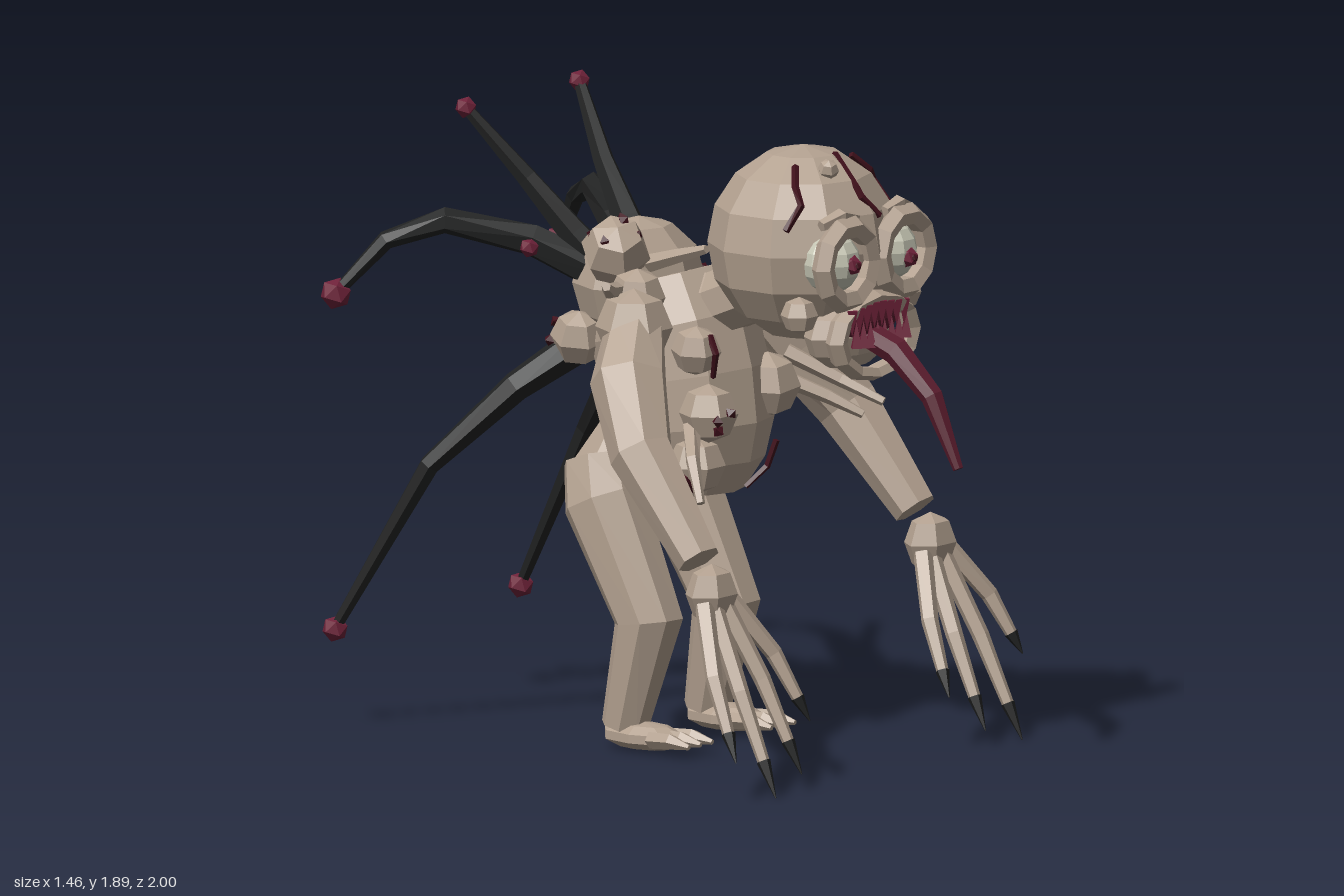
import * as THREE from 'three';

const mat = (name, color) => {
  const m = new THREE.MeshStandardMaterial({ color });
  m.name = name;
  return m;
};

export function createModel() {
  const model = new THREE.Group();
  const skin = mat('pale skin', 0xb3a190);
  const black = mat('black tendril', 0x212222);
  const red = mat('crimson flesh', 0x6e2239);
  const tongueRed = mat('dark tongue', 0x581b2c);
  const vein = mat('dark vein', 0x42111c);
  const eyeWhite = mat('eye white', 0xc8c8b6);

  // faceted mesh
  const add = (name, geo, material, pos = [0, 0, 0], scale = [1, 1, 1], rot = [0, 0, 0]) => {
    const g = geo.index ? geo.toNonIndexed() : geo;
    g.computeVertexNormals();
    const mesh = new THREE.Mesh(g, material);
    mesh.name = name;
    mesh.position.set(...pos);
    mesh.scale.set(...scale);
    mesh.rotation.set(...rot);
    model.add(mesh);
    return mesh;
  };
  const ball = (name, material, pos, size, w = 10, h = 6, rot = [0, 0, 0]) =>
    add(name, new THREE.SphereGeometry(1, w, h), material, pos, Array.isArray(size) ? size : [size, size, size], rot);
  const knob = (name, material, pos, r) =>
    add(name, new THREE.IcosahedronGeometry(r, 0), material, pos, [1, 1, 1], [0.3, 0.5, 0.2]);

  // tapered tube through points, one radius per point
  const limb = (name, material, pts, radii, sides = 6) => {
    const p = pts.map((a) => new THREE.Vector3(...a));
    const n = p.length;
    const all = p[n - 1].clone().sub(p[0]).normalize();
    const ref = Math.abs(all.x) < 0.7 ? new THREE.Vector3(1, 0, 0) : new THREE.Vector3(0, 0, 1);
    const verts = [], idx = [];
    p.forEach((c, i) => {
      const t = p[Math.min(i + 1, n - 1)].clone().sub(p[Math.max(i - 1, 0)]).normalize();
      const e1 = ref.clone().addScaledVector(t, -t.dot(ref)).normalize();
      const e2 = t.clone().cross(e1);
      for (let j = 0; j < sides; j++) {
        const a = ((j + 0.5) / sides) * Math.PI * 2;
        const v = c.clone().addScaledVector(e1, Math.cos(a) * radii[i]).addScaledVector(e2, Math.sin(a) * radii[i]);
        verts.push(v.x, v.y, v.z);
      }
    });
    const s = n * sides;
    verts.push(...p[0].toArray(), ...p[n - 1].toArray());
    for (let j = 0; j < sides; j++) {
      const k = (j + 1) % sides, e = (n - 1) * sides;
      for (let i = 0; i < n - 1; i++) {
        const a = i * sides + j, b = i * sides + k;
        idx.push(a, b, a + sides, b, b + sides, a + sides);
      }
      idx.push(s, k, j, s + 1, e + j, e + k);
    }
    const g = new THREE.BufferGeometry();
    g.setAttribute('position', new THREE.Float32BufferAttribute(verts, 3));
    g.setIndex(idx);
    return add(name, g, material);
  };
  const flip = (pts, s) => pts.map(([x, y, z]) => [x * s, y, z]);

  // torso
  ball('pelvis', skin, [0, 0.78, -0.19], [0.24, 0.2, 0.165], 8, 5);
  limb('trunk', skin, [[0, 0.765, 0], [0, 0.85, 0], [0, 0.96, -0.01], [0, 1.1, -0.02], [0, 1.24, -0.06], [0, 1.38, -0.1]],
    [0.16, 0.22, 0.255, 0.25, 0.25, 0.19], 10);
  ball('hump', skin, [0, 1.36, -0.19], [0.22, 0.19, 0.18], 8, 6);
  limb('neck', skin, [[0, 1.27, -0.05], [0, 1.33, 0.12], [0, 1.42, 0.34]], [0.14, 0.1, 0.1], 8);

  // head and jaw
  ball('head', skin, [0, 1.54, 0.415], [0.295, 0.29, 0.28], 10, 8, [0, Math.PI / 10, 0]);
  ball('jaw', skin, [0, 1.29, 0.58], [0.18, 0.11, 0.09], 10, 6);
  add('lipRing', new THREE.TorusGeometry(0.178, 0.034, 5, 12), skin, [0, 1.29, 0.672], [1, 0.64, 1]);
  ball('mouthCavity', tongueRed, [0, 1.335, 0.65], [0.145, 0.055, 0.04], 12, 6);
  for (let i = 0; i < 8; i++) {
    const x = -0.126 + i * 0.036;
    const tooth = () => new THREE.ConeGeometry(0.021, 0.08, 4);
    add('upperTooth', tooth(), red, [x, 1.355 - Math.abs(x) * 0.1, 0.69], [1, 1, 1], [Math.PI, 0, 0]);
    add('lowerTooth', tooth(), red, [x * 0.95 + 0.015, 1.295 + Math.abs(x) * 0.1, 0.69]);
  }
  limb('tongue', tongueRed, [[0, 1.31, 0.6], [0, 1.25, 0.76], [0, 1.13, 0.89], [0, 0.925, 0.985]],
    [0.038, 0.042, 0.034, 0.016], 7);

  for (const s of [-1, 1]) {
    // eyes
    const ex = 0.137 * s;
    add('eyeSocket', new THREE.TorusGeometry(0.112, 0.035, 5, 10), skin, [ex, 1.52, 0.677]);
    ball('eyeball', eyeWhite, [ex, 1.52, 0.618], 0.092, 10, 8);
    const irisY = s < 0 ? 1.52 : 1.505;
    knob('iris', red, [ex, irisY, 0.696], 0.032);
    knob('pupil', vein, [ex, irisY, 0.717], 0.014);
    limb('brow', skin, [[0.07 * s, 1.645, 0.66], [0.14 * s, 1.66, 0.66], [0.21 * s, 1.64, 0.64]], [0.018, 0.026, 0.018], 5);
    ball('cheekGrowth', skin, [0.25 * s, 1.375, 0.59], 0.056, 6, 4);

    // arms
    ball('shoulder', skin, [0.3 * s, 1.285, 0.02], 0.115, 6, 4);
    limb('arm', skin, flip([[0.3, 1.28, 0.025], [0.41, 1.15, 0.085], [0.5, 0.96, 0.2], [0.525, 0.67, 0.43]], s),
      [0.09, 0.115, 0.097, 0.067], 7);
    ball('palm', skin, [0.53 * s, 0.575, 0.48], [0.095, 0.09, 0.07], 6, 4);

    // fingers with claws
    const tips = [[0.725, s < 0 ? 0.125 : 0.235], [0.597, 0.008], [0.445, 0.055], [0.33, s < 0 ? 0.19 : 0.165]];
    for (const [x, y] of tips) {
      const base = new THREE.Vector3(0.53 + (x - 0.53) * 0.32, 0.55, 0.5);
      const tip = new THREE.Vector3(x, y, 0.77 - 0.42 * y);
      const mid = base.clone().lerp(tip, 0.45);
      mid.x += (x - 0.53) * 0.15;
      mid.z += 0.005;
      const nail = mid.clone().lerp(tip, 0.65);
      const at = (...v) => flip(v.map((q) => q.toArray()), s);
      limb('finger', skin, at(base, mid, nail), [0.03, 0.027, 0.019], 5);
      limb('claw', black, at(nail, tip), [0.022, 0.002], 5);
    }

    // legs and feet
    limb('leg', skin, flip([[0.15, 0.84, -0.22], [0.18, 0.73, -0.18], [0.188, 0.39, -0.01], [0.2, 0.07, -0.09]], s),
      [0.11, 0.125, 0.104, 0.07], 8);
    ball('foot', skin, [0.2 * s, 0.05, -0.02], [0.078, 0.042, 0.15], 8, 5);
    for (let i = -1; i <= 1; i++) {
      const x = 0.2 + i * 0.045;
      limb('toe', skin, flip([[x, 0.05, 0.04], [x + i * 0.008, 0.055, 0.12], [x + i * 0.012, 0.045, 0.19]], s),
        [0.026, 0.024, 0.008], 5);
    }

    // back tendrils with bulb tips
    const tendrils = [
      [[0.07, 1.35, -0.2], [0.13, 1.5, -0.33], [0.185, 1.66, -0.46], [0.275, 1.865, -0.617]],
      [[0.075, 1.36, -0.21], [0.2, 1.48, -0.43], [0.36, 1.54, -0.63], [0.46, 1.48, -0.77], [0.545, 1.32, -0.89]],
      [[0.1, 1.22, -0.25], [0.25, 1.05, -0.45], [0.38, 0.81, -0.67], [0.45, 0.3, -0.965]],
    ];
    tendrils.forEach((path, i) => {
      const r = path.map((_, k) => 0.06 - (0.042 * k) / (path.length - 1));
      limb('backTendril', black, flip(path, s), r, 6);
      const [x, y, z] = path[path.length - 1];
      knob('tendrilBulb', red, [x * s, y, z], [0.033, 0.048, 0.04][i]);
    });
    knob('backSore', red, [0.24 * s, 1.465, -0.41], 0.03);
  }

  // growths: position, radius and tilt
  const growths = [
    [0.31, 1.585, 0.46, 0.054, 0], [-0.07, 1.78, 0.56, 0.032, 0.3],
    [-0.175, 1.03, 0.2, 0.088, 0], [-0.17, 0.87, 0.15, 0.088, 0], [0.135, 1.07, 0.18, 0.1, 0.1],
    [0.21, 1.28, 0.25, 0.085, 0.2], [-0.21, 1.22, 0.18, 0.075, 0.1], [-0.19, 1.48, -0.13, 0.105, 0.5],
    [0.21, 1.31, -0.1, 0.068, 0.2], [0.17, 1.17, -0.3, 0.105, 0.4], [0.13, 1.26, -0.38, 0.065, 0.3],
    [-0.16, 1.2, -0.29, 0.085, 0.2], [-0.22, 1.36, -0.03, 0.085, 0.1],
  ];
  growths.forEach(([x, y, z, r, tilt]) => ball('growth', skin, [x, y, z], r, 6, 4, [tilt, 0, tilt]));

  // small sores
  const sores = [
    [-0.23, 1.02, 0.275], [-0.18, 1.04, 0.285], [-0.22, 0.99, 0.27], [0.23, 1.29, 0.33], [0.2, 1.24, 0.325],
    [0.24, 1.22, 0.31], [-0.27, 1.52, -0.11], [-0.19, 1.57, -0.1], [-0.24, 1.53, -0.18], [-0.16, 1.57, -0.13],
    [-0.18, 1.53, -0.06], [0.13, 1.28, -0.44], [0.15, 1.22, -0.43], [0.16, 1.31, -0.41], [0.22, 1.37, -0.12],
    [-0.17, 1.24, -0.365], [-0.2, 1.19, -0.365], [0.22, 1.3, -0.32],
  ];
  sores.forEach((p, i) => add('sore', new THREE.OctahedronGeometry(0.02), vein, p, [1, 1, 1], [i, i * 0.5, 0]));

  // flesh strands
  const strands = [
    [[-0.27, 1.38, -0.06], [-0.38, 1.4, -0.01], [-0.46, 1.43, 0.04]],
    [[0.2, 1.27, -0.25], [0.33, 1.25, -0.28], [0.43, 1.22, -0.34]],
    [[-0.22, 0.99, 0.17], [-0.32, 0.92, 0.25], [-0.36, 0.8, 0.31]],
    [[0.2, 1.16, 0.2], [0.28, 1.08, 0.34], [0.33, 1.02, 0.46]],
    [[0.22, 1.08, 0.16], [0.3, 1.02, 0.28], [0.35, 0.97, 0.37]],
    [[-0.12, 1.44, -0.06], [-0.12, 1.475, 0.05], [-0.12, 1.505, 0.15]],
    [[0.15, 1.14, -0.3], [0.19, 1.05, -0.4], [0.21, 1.0, -0.46]],
  ];
  strands.forEach((p) => limb('fleshStrand', skin, p, [0.028, 0.022, 0.014], 5));

  // veins on head: x, y pairs laid on the skull surface
  const skull = ([x, y]) =>
    [x, y, 0.415 + 0.275 * Math.sqrt(Math.max(0.005, 1 - (x / 0.295) ** 2 - ((y - 1.54) / 0.29) ** 2))];
  const headVeins = [
    [[-0.13, 1.79], [-0.18, 1.74], [-0.2, 1.69], [-0.25, 1.62]],
    [[0.02, 1.81], [-0.02, 1.73], [-0.02, 1.7], [0.03, 1.64]],
    [[0.12, 1.79], [0.18, 1.74], [0.23, 1.7], [0.24, 1.63]],
  ];
  headVeins.forEach((v) => limb('headVein', vein, v.map(skull), v.map(() => 0.011), 4));

  // veins on body
  const bodyVeins = [
    [[-0.21, 1.27, 0.23], [-0.22, 1.22, 0.26], [-0.18, 1.14, 0.22]],
    [[-0.27, 0.9, 0.08], [-0.25, 0.84, 0.17], [-0.19, 0.78, 0.18]],
    [[0.12, 0.91, 0.225], [0.115, 0.83, 0.195], [0.07, 0.77, 0.15]],
  ];
  bodyVeins.forEach((v) => limb('bodyVein', vein, v, [0.01, 0.01, 0.008], 4));

  return model;
}
